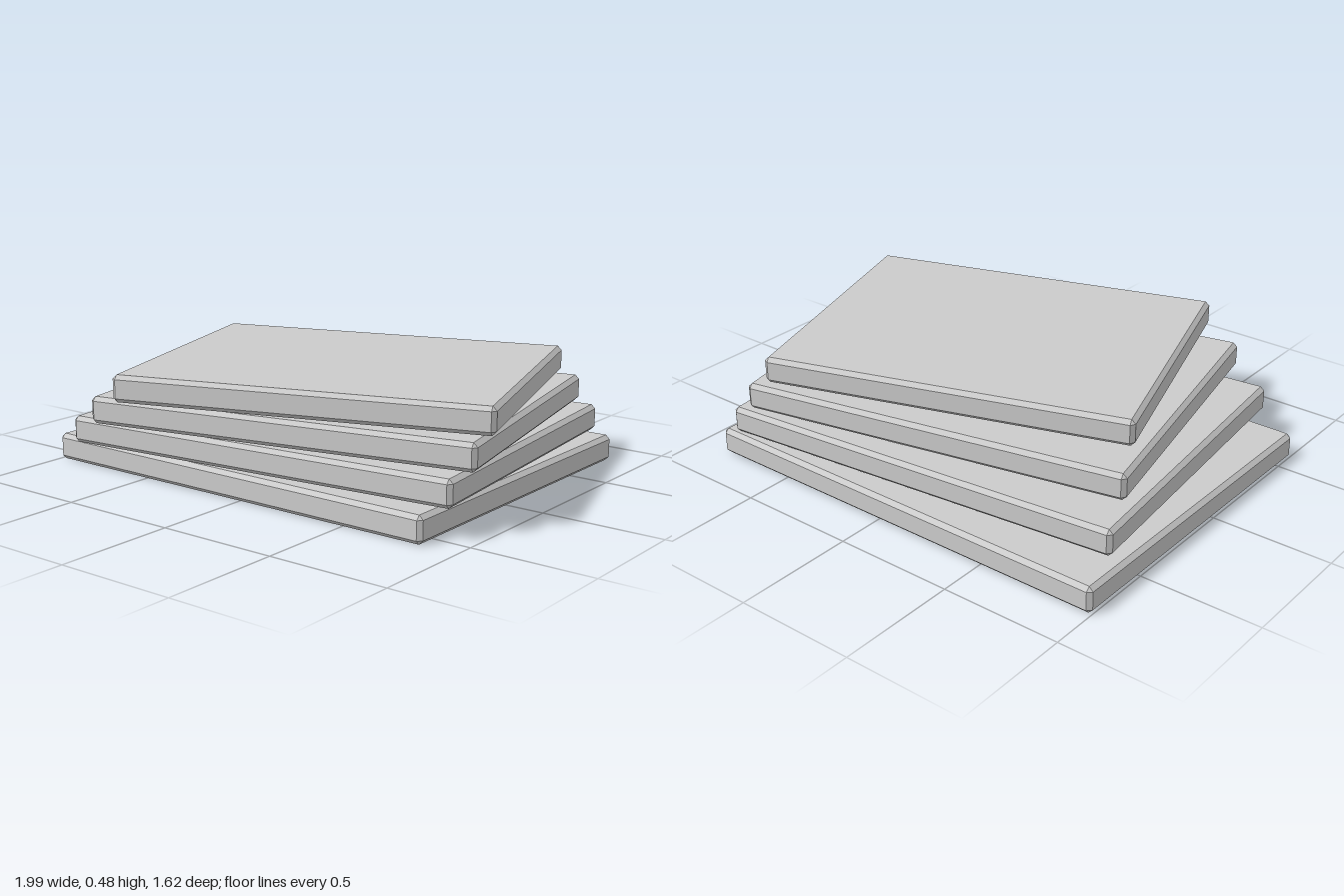
import * as THREE from 'three';
import { ConvexGeometry } from 'three/addons/geometries/ConvexGeometry.js';

// Box with a flat chamfer of size c on every edge: three corner points per box corner.
function chamferedBox(w, h, d, c) {
  const points = [];
  for (const sx of [-1, 1]) for (const sy of [-1, 1]) for (const sz of [-1, 1]) {
    const x = w / 2, y = h / 2, z = d / 2;
    points.push(
      new THREE.Vector3(sx * x, sy * (y - c), sz * (z - c)),
      new THREE.Vector3(sx * (x - c), sy * y, sz * (z - c)),
      new THREE.Vector3(sx * (x - c), sy * (y - c), sz * z),
    );
  }
  return new ConvexGeometry(points);
}

export function createModel() {
  const group = new THREE.Group();
  group.name = 'twistedSlabStack';
  const material = new THREE.MeshStandardMaterial({ color: 0xcccccc, flatShading: true });

  // Each slab is smaller, shifted and turned 6 degrees from the one beneath it.
  const thickness = 0.11, pitch = 0.122;
  for (let i = 0; i < 4; i++) {
    const scale = 1 - 0.06 * i;
    const slab = new THREE.Mesh(
      chamferedBox(1.855 * scale, thickness, 1.415 * scale, 0.017), material);
    slab.name = `slab${i + 1}`;
    slab.position.set(-0.0725 + 0.055 * i, thickness / 2 + pitch * i, -0.1065 + 0.045 * i);
    slab.rotation.y = THREE.MathUtils.degToRad(6 * i);
    group.add(slab);
  }
  return group;
}
